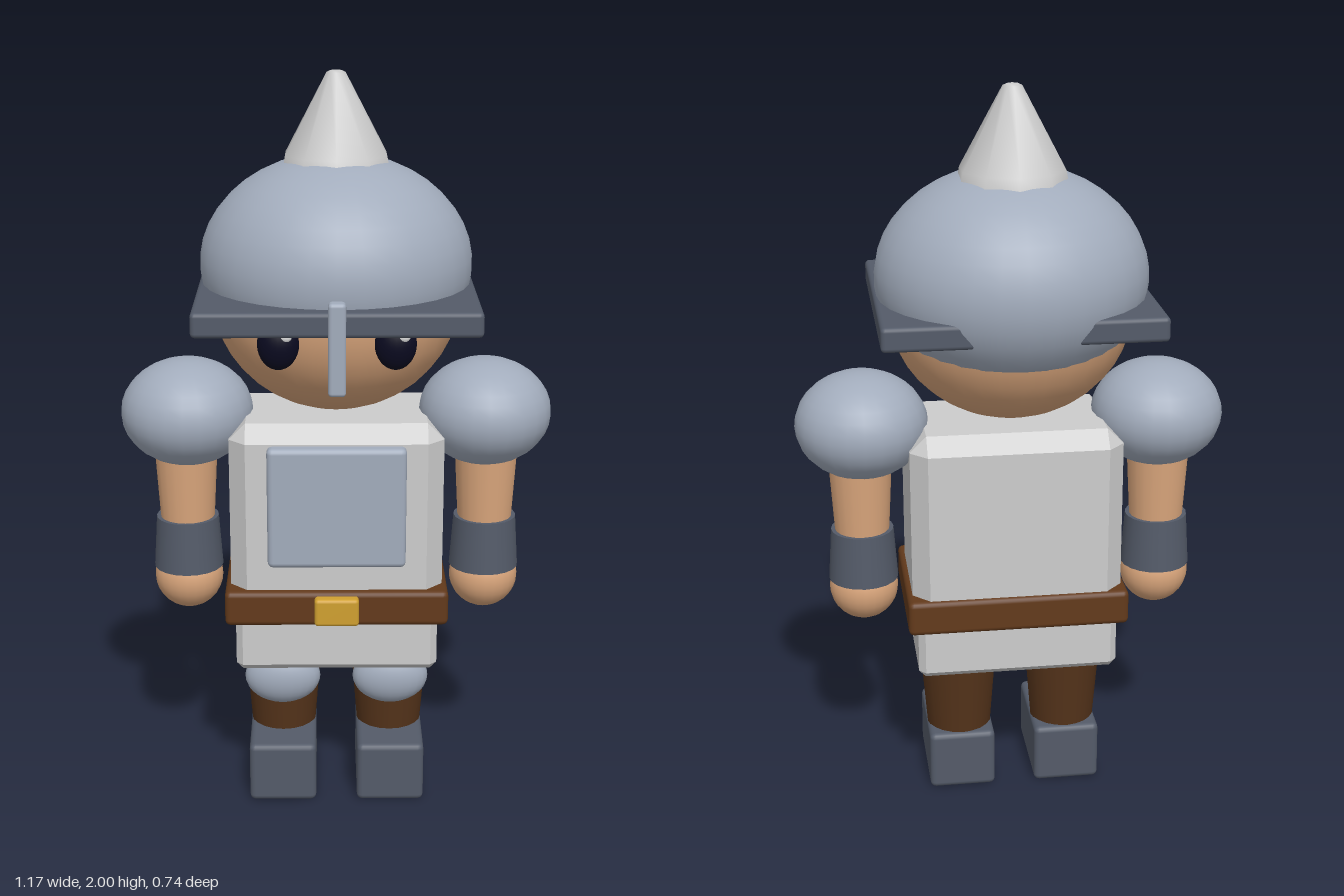
import * as THREE from 'three';
import { RoundedBoxGeometry } from 'three/addons/geometries/RoundedBoxGeometry.js';
import { ConvexGeometry } from 'three/addons/geometries/ConvexGeometry.js';

const material = (name, color) => {
  const m = new THREE.MeshStandardMaterial({ color });
  m.name = name;
  return m;
};

// Box with a single flat chamfer along every edge
function chamferBox(w, h, d, b) {
  const points = [];
  for (const x of [-w / 2, w / 2]) for (const y of [-h / 2, h / 2]) for (const z of [-d / 2, d / 2]) {
    const ix = x - Math.sign(x) * b, iy = y - Math.sign(y) * b, iz = z - Math.sign(z) * b;
    points.push(new THREE.Vector3(x, iy, iz), new THREE.Vector3(ix, y, iz), new THREE.Vector3(ix, iy, z));
  }
  return new ConvexGeometry(points);
}

const ellipsoid = (rx, ry, rz, seg = 24) => new THREE.SphereGeometry(1, seg, Math.round(seg * 0.67)).scale(rx, ry, rz);
const softBox = (w, h, d, r = 0.012) => new RoundedBoxGeometry(w, h, d, 2, r);

export function createModel() {
  const group = new THREE.Group();
  group.name = 'knight';

  const steel = material('steel', 0xa2acbc);
  const darkSteel = material('dark steel', 0x545b69);
  const silver = material('silver', 0xcccccc);
  const skin = material('skin', 0xdaa67c);
  const leather = material('belt leather', 0x633a1b);
  const trousers = material('brown trousers', 0x54331a);
  const gold = material('gold', 0xd0a030);
  const black = material('eye black', 0x0a0a20);
  const white = material('eye white', 0xf4f4f4);

  const add = (name, geometry, mat, x, y, z) => {
    const mesh = new THREE.Mesh(geometry, mat);
    mesh.name = name;
    mesh.position.set(x, y, z);
    group.add(mesh);
    return mesh;
  };

  // Head and helmet
  add('head', ellipsoid(0.33, 0.31, 0.31, 32), skin, 0, 1.42, 0);
  add('helmet', ellipsoid(0.362, 0.29, 0.35, 32), steel, 0, 1.5, -0.02);
  add('helmetBrim', softBox(0.73, 0.065, 0.68), darkSteel, 0, 1.422, 0.02);
  add('noseGuard', softBox(0.045, 0.24, 0.04, 0.01), steel, 0, 1.36, 0.35);
  const spikeProfile = [[0.15, 1.73], [0.14, 1.785], [0.026, 1.995], [0.015, 2], [0, 2]]
    .map(([r, y]) => new THREE.Vector2(r, y));
  add('helmetSpike', new THREE.LatheGeometry(spikeProfile, 10), silver, 0, 0, -0.04);

  // Torso, skirt, belt and chest plate
  add('torso', chamferBox(0.575, 0.54, 0.37, 0.045), silver, 0, 0.83, 0);
  add('skirt', chamferBox(0.55, 0.24, 0.36, 0.018), silver, 0, 0.52, 0.005);
  add('chestPlate', softBox(0.37, 0.335, 0.06, 0.015), steel, 0, 0.883, 0.187);
  add('belt', softBox(0.605, 0.098, 0.405, 0.015), leather, 0, 0.592, 0.005);
  add('buckle', softBox(0.12, 0.078, 0.04, 0.01), gold, 0, 0.592, 0.215);

  for (const [side, s] of [['left', 1], ['right', -1]]) {
    // Eyes with a small glint
    add(side + 'Eye', ellipsoid(0.053, 0.066, 0.035), black, s * 0.148, 1.36, 0.3);
    add(side + 'EyeGlint', ellipsoid(0.016, 0.016, 0.008, 12), white, s * 0.148 + 0.02, 1.388, 0.327);

    // Arms
    add(side + 'ShoulderPad', ellipsoid(0.18, 0.146, 0.183), steel, s * 0.405, 1.094, 0.002);
    add(side + 'Arm', new THREE.CylinderGeometry(0.09, 0.07, 0.35, 20), skin, s * 0.412, 0.88, 0);
    add(side + 'Bracer', new THREE.CylinderGeometry(0.086, 0.096, 0.146, 20), darkSteel, s * 0.412, 0.718, 0);
    add(side + 'Hand', ellipsoid(0.095, 0.095, 0.092), skin, s * 0.412, 0.617, 0.003);

    // Legs
    add(side + 'Leg', new THREE.CylinderGeometry(0.112, 0.09, 0.28, 20), trousers, s * 0.15, 0.3, 0.005);
    add(side + 'KneePad', ellipsoid(0.105, 0.08, 0.056), steel, s * 0.15, 0.35, 0.108);
    add(side + 'Boot', softBox(0.186, 0.172, 0.295, 0.016), darkSteel, s * 0.15, 0.088, 0.05);
  }
  return group;
}
